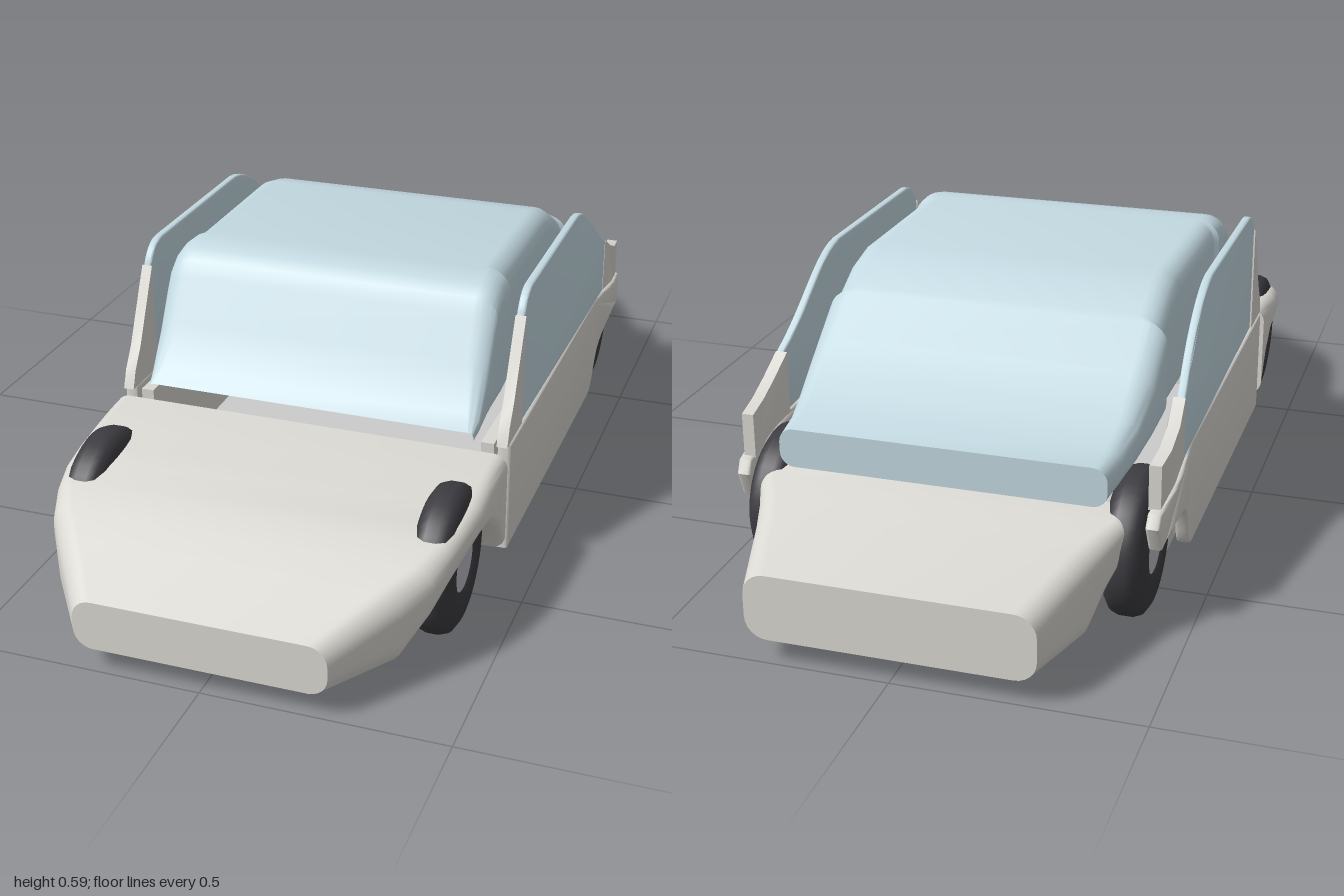
import * as THREE from 'three';
import { toCreasedNormals } from 'three/addons/utils/BufferGeometryUtils.js';

const mat = (color) => new THREE.MeshStandardMaterial({ color });

// Rounded-rectangle ring, counter-clockwise seen from +z
function ring([z, y0, y1, w, r]) {
  const rr = Math.min(r, (y1 - y0) / 2 - 0.001), pts = [];
  const corners = [[w - rr, y1 - rr], [-w + rr, y1 - rr], [-w + rr, y0 + rr], [w - rr, y0 + rr]];
  corners.forEach(([cx, cy], c) => {
    for (let k = 0; k <= 6; k++) {
      const a = (c + k / 6) * Math.PI / 2;
      pts.push([cx + rr * Math.cos(a), cy + rr * Math.sin(a), z]);
    }
  });
  return pts;
}

// Skin through sections [z, bottom, top, halfWidth, cornerRadius] ordered front to back
function loft(sections, frontCap = true) {
  const rings = sections.map(ring), n = rings[0].length, pos = [];
  const tri = (a, b, c) => pos.push(...a, ...b, ...c);
  for (let i = 0; i < rings.length - 1; i++) {
    const p = rings[i], q = rings[i + 1];
    for (let j = 0; j < n; j++) {
      const k = (j + 1) % n;
      tri(p[j], q[j], p[k]);
      tri(q[j], q[k], p[k]);
    }
  }
  const first = rings[0], last = rings[rings.length - 1];
  for (let j = 1; j < n - 1; j++) {
    if (frontCap) tri(first[0], first[j], first[j + 1]);
    tri(last[0], last[j + 1], last[j]);
  }
  const g = new THREE.BufferGeometry();
  g.setAttribute('position', new THREE.Float32BufferAttribute(pos, 3));
  return toCreasedNormals(g, 0.5);
}

// Upright slab from a (z, y) outline between x0 and x1, bulging outwards over the rear wheel
function sideSlab(shape, x0, x1, side, bevel = 0) {
  const g = new THREE.ExtrudeGeometry(shape, {
    depth: x1 - x0 - 2 * bevel, curveSegments: 10, bevelEnabled: bevel > 0,
    bevelSize: bevel, bevelOffset: -bevel, bevelThickness: bevel, bevelSegments: 3,
  });
  g.rotateY(-Math.PI / 2);
  g.translate(side > 0 ? x1 - bevel : -x0 - bevel, 0, 0);
  const p = g.attributes.position;
  for (let i = 0; i < p.count; i++) {
    p.setX(i, p.getX(i) + side * 0.014 * Math.exp(-(((p.getZ(i) + 0.56) / 0.13) ** 2)));
  }
  return toCreasedNormals(g, 0.6);
}

const outline = (pts) => new THREE.Shape(pts.map(([z, y]) => new THREE.Vector2(z, y)));

export function createModel() {
  const model = new THREE.Group();
  model.name = 'car';
  const paint = mat(0xdad8d2), glass = mat(0xc3d9e1), rubber = mat(0x3c3c41);
  const hubMat = mat(0xbcbcc4), trim = mat(0xb5b0a8), floorMat = mat(0xcccccc);
  const add = (name, geo, material, parent = model) => {
    const m = new THREE.Mesh(geo, material);
    m.name = name;
    parent.add(m);
    return m;
  };
  const box = (name, x, y, z, w, h, d, material) =>
    add(name, new THREE.BoxGeometry(w, h, d), material).position.set(x, y, z);

  // Nose with the wheel arch running through its full width
  add('nose', loft([
    [1, 0.05, 0.155, 0.26, 0.04],
    [0.86, 0.05, 0.208, 0.36, 0.05],
    [0.8, 0.115, 0.23, 0.4, 0.045],
    [0.74, 0.165, 0.25, 0.42, 0.035],
    [0.68, 0.19, 0.262, 0.432, 0.03],
    [0.6, 0.2, 0.27, 0.44, 0.03],
    [0.53, 0.185, 0.28, 0.44, 0.03],
    [0.47, 0.14, 0.287, 0.44, 0.03],
    [0.42, 0.07, 0.29, 0.44, 0.03],
  ]), paint);

  // Tail behind the rear wheels
  add('tail', loft([
    [-0.66, 0.19, 0.262, 0.385, 0.025],
    [-0.72, 0.165, 0.25, 0.38, 0.03],
    [-0.77, 0.115, 0.238, 0.36, 0.04],
    [-0.83, 0.05, 0.225, 0.34, 0.045],
    [-1, 0.05, 0.187, 0.29, 0.045],
  ]), paint);

  // Glass canopy: windscreen, slightly narrower roof, sloping rear window
  add('canopy', loft([
    [0.415, 0.3, 0.325, 0.365, 0.02],
    [0.385, 0.3, 0.355, 0.37, 0.03],
    [0.33, 0.3, 0.445, 0.372, 0.045],
    [0.285, 0.3, 0.53, 0.372, 0.05],
    [0.265, 0.3, 0.562, 0.372, 0.05],
    [0.24, 0.3, 0.58, 0.372, 0.05],
    [0.205, 0.3, 0.588, 0.372, 0.05],
    [0.165, 0.3, 0.588, 0.37, 0.05],
    [0.155, 0.3, 0.588, 0.36, 0.05],
    [-0.2, 0.3, 0.588, 0.36, 0.05],
    [-0.27, 0.3, 0.572, 0.36, 0.05],
    [-0.345, 0.3, 0.532, 0.36, 0.05],
    [-0.355, 0.3, 0.525, 0.372, 0.05],
    [-0.45, 0.295, 0.452, 0.372, 0.05],
    [-0.55, 0.285, 0.39, 0.362, 0.04],
    [-0.63, 0.275, 0.36, 0.35, 0.035],
    [-0.705, 0.27, 0.352, 0.34, 0.03],
  ], false), glass);

  // Floor, rear cross members and seats
  box('floor', 0, 0.07, -0.035, 0.8, 0.03, 0.84, floorMat);
  box('rearStep', 0, 0.105, -0.41, 0.66, 0.02, 0.12, floorMat);
  box('rearCrossMember', 0, 0.13, -0.44, 0.62, 0.02, 0.08, floorMat);
  for (const s of [-1, 1]) box('seat', s * 0.125, 0.205, -0.1, 0.19, 0.24, 0.1, trim);

  // Side outlines in (z, y)
  const lower = new THREE.Shape();
  lower.moveTo(0.385, 0.05);
  lower.lineTo(0.385, 0.296);
  lower.lineTo(-0.4, 0.296);
  lower.bezierCurveTo(-0.5, 0.295, -0.58, 0.28, -0.685, 0.262);
  lower.lineTo(-0.7, 0.235);
  lower.lineTo(-0.675, 0.18);
  lower.bezierCurveTo(-0.6, 0.21, -0.5, 0.2, -0.45, 0.15);
  lower.bezierCurveTo(-0.42, 0.11, -0.42, 0.055, -0.375, 0.05);
  lower.closePath();

  const sideGlass = new THREE.Shape();
  sideGlass.moveTo(0.278, 0.295);
  sideGlass.lineTo(0.278, 0.54);
  sideGlass.quadraticCurveTo(0.255, 0.588, 0.21, 0.588);
  sideGlass.lineTo(-0.2, 0.588);
  sideGlass.bezierCurveTo(-0.3, 0.582, -0.39, 0.48, -0.49, 0.425);
  sideGlass.lineTo(-0.49, 0.29);
  sideGlass.closePath();

  const frontPillar = outline([[0.278, 0.295], [0.4, 0.295], [0.385, 0.335], [0.355, 0.38], [0.3, 0.495], [0.278, 0.54]]);
  const rearPillar = outline([[-0.49, 0.29], [-0.49, 0.425], [-0.55, 0.388], [-0.61, 0.365], [-0.67, 0.356], [-0.67, 0.262], [-0.58, 0.28]]);
  const sill = outline([[0.38, 0.065], [0.38, 0.29], [-0.46, 0.29], [-0.46, 0.16], [-0.39, 0.065]]);

  // Tyre cross-section, spun about its axle
  const tyre = new THREE.LatheGeometry([
    [0.062, -0.036], [0.072, -0.043], [0.1, -0.043], [0.13, -0.038], [0.146, -0.028], [0.152, -0.012],
    [0.152, 0.012], [0.146, 0.028], [0.13, 0.038], [0.1, 0.043], [0.072, 0.043], [0.062, 0.036],
  ].map(([r, y]) => new THREE.Vector2(r, y)), 40);
  const hub = new THREE.CylinderGeometry(0.064, 0.064, 0.074, 32);

  for (const s of [-1, 1]) {
    const side = new THREE.Group();
    side.name = s > 0 ? 'leftSide' : 'rightSide';
    model.add(side);
    add('lowerBody', sideSlab(lower, 0.408, 0.437, s, 0.006), paint, side);
    add('innerSill', sideSlab(sill, 0.372, 0.4, s), paint, side);
    add('sideWindow', sideSlab(sideGlass, 0.412, 0.43, s, 0.004), glass, side);
    add('frontPillar', sideSlab(frontPillar, 0.41, 0.433, s), paint, side);
    add('rearPillar', sideSlab(rearPillar, 0.405, 0.43, s), paint, side);

    for (const [end, z] of [['front', 0.62], ['rear', -0.59]]) {
      const wheel = new THREE.Group();
      wheel.name = end + 'Wheel';
      wheel.position.set(s * 0.371, 0.152, z);
      wheel.rotation.z = Math.PI / 2;
      add('tyre', tyre, rubber, wheel);
      add('hub', hub, hubMat, wheel);
      model.add(wheel);
    }
  }
  return model;
}
